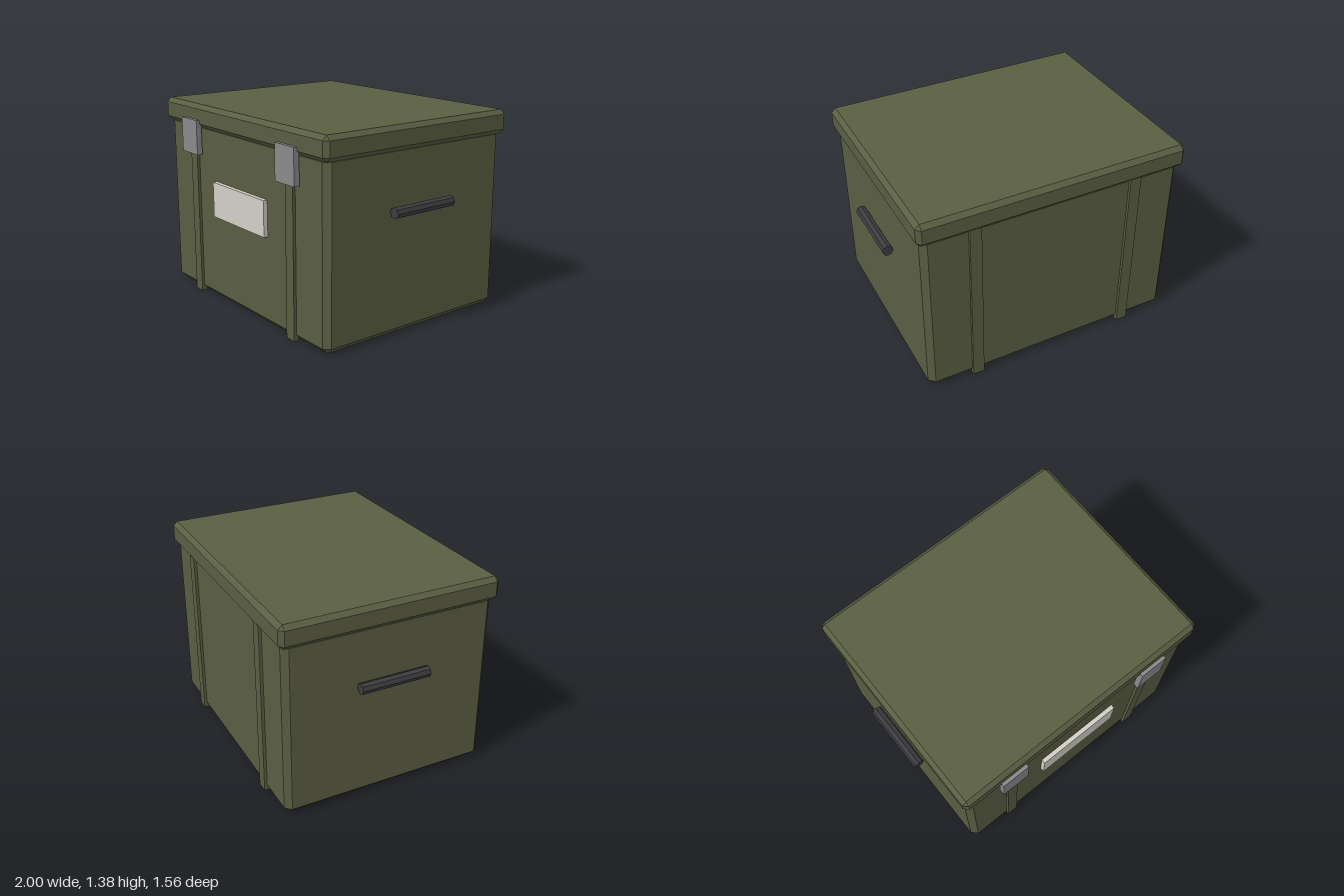
import * as THREE from 'three';
import { ConvexGeometry } from 'three/addons/geometries/ConvexGeometry.js';

// Box with a single flat bevel of width c along every edge and corner
function bevelBox(w, h, d, c) {
  const pts = [];
  for (const x of [-1, 1]) for (const y of [-1, 1]) for (const z of [-1, 1]) {
    const X = w / 2, Y = h / 2, Z = d / 2;
    pts.push(
      new THREE.Vector3(x * X, y * (Y - c), z * (Z - c)),
      new THREE.Vector3(x * (X - c), y * Y, z * (Z - c)),
      new THREE.Vector3(x * (X - c), y * (Y - c), z * Z));
  }
  return new ConvexGeometry(pts);
}

export function createModel() {
  const group = new THREE.Group();
  const mat = (name, color, flatShading = false) => {
    const m = new THREE.MeshStandardMaterial({ color, flatShading });
    m.name = name;
    return m;
  };
  const olive = mat('olive', 0x5a5e42);
  const steel = mat('steel', 0x8a8a8c);
  const paper = mat('paper', 0xd2cfc6);
  const darkGrip = mat('darkGrip', 0x3c3c40, true);
  const add = (name, geo, material, x, y, z) => {
    const m = new THREE.Mesh(geo, material);
    m.name = name;
    m.position.set(x, y, z);
    group.add(m);
    return m;
  };
  const zc = -0.011; // centre of the crate, behind the latches

  // Crate body and overhanging lid
  add('body', bevelBox(1.84, 1.25, 1.48, 0.04), olive, 0, 0.625, zc);
  add('lid', bevelBox(1.9, 0.162, 1.536, 0.03), olive, 0, 1.294, zc);

  for (const s of [-1, 1]) {
    const side = s > 0 ? 'left' : 'right';
    // Vertical ribs on front and back
    for (const f of [-1, 1]) {
      add(side + (f > 0 ? 'FrontRib' : 'BackRib'),
        new THREE.BoxGeometry(0.08, 1.23, 0.04), olive, s * 0.572, 0.615, zc + f * 0.74);
    }
    // Latch plate
    add(side + 'Latch', new THREE.BoxGeometry(0.2, 0.243, 0.04), steel, s * 0.572, 1.148, 0.761);
    // Bar handle
    add(side + 'Handle', new THREE.CylinderGeometry(0.0375, 0.0375, 0.49, 8),
      darkGrip, s * 0.9625, 0.834, zc).rotation.x = Math.PI / 2;
  }

  // Label plate on the front
  add('label', new THREE.BoxGeometry(0.616, 0.246, 0.03), paper, 0, 0.739, 0.745);

  return group;
}
